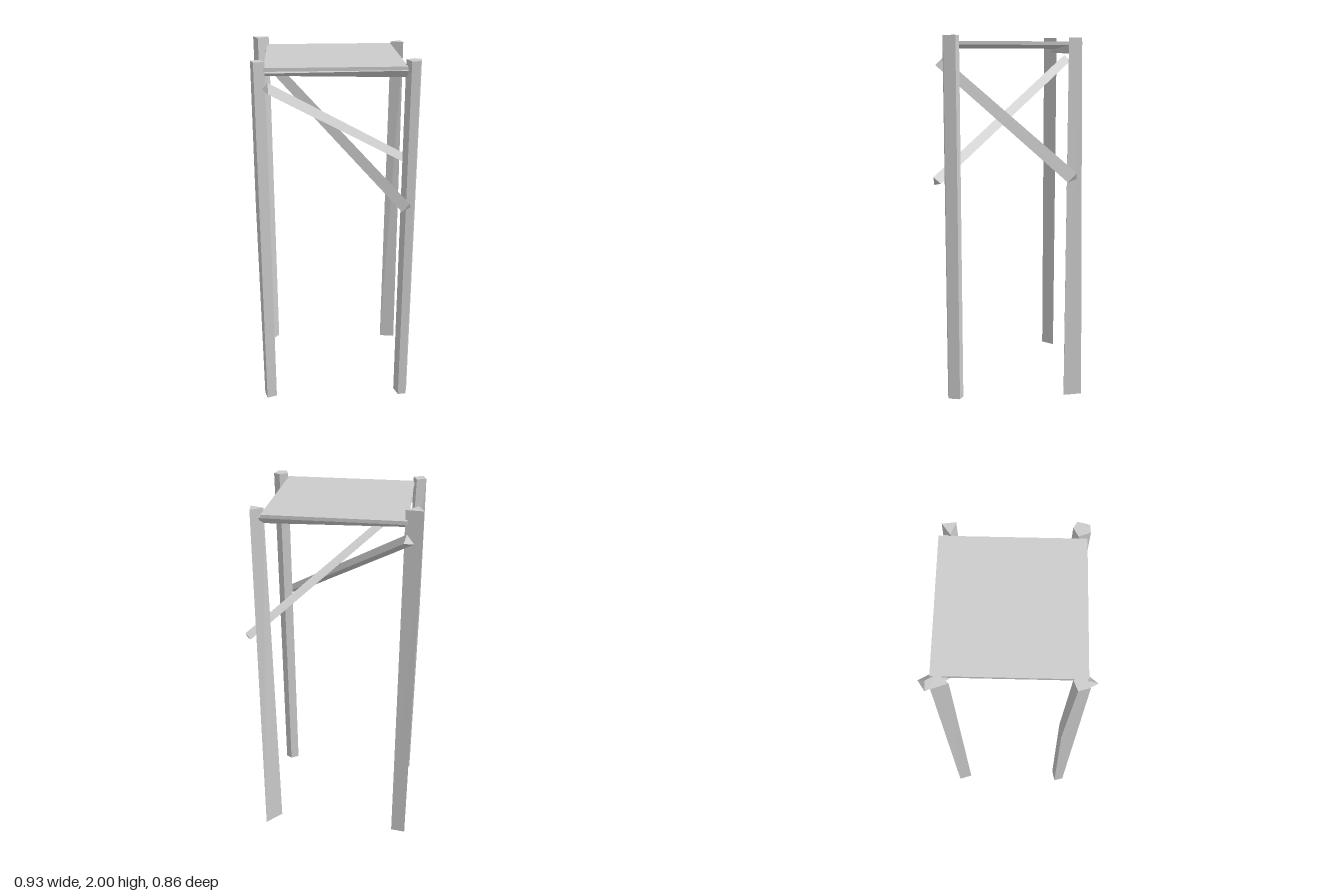
import * as THREE from 'three';

const material = new THREE.MeshStandardMaterial({ color: 0xcccccc, flatShading: true });

// Capped solid through matching rings of points, ordered anticlockwise as seen from the last ring
function loft(name, rings) {
  const pos = [];
  const n = rings[0].length;
  const tri = (a, b, c) => pos.push(...a, ...b, ...c);
  for (let r = 0; r + 1 < rings.length; r++) {
    const lo = rings[r], hi = rings[r + 1];
    for (let i = 0; i < n; i++) {
      const j = (i + 1) % n;
      tri(lo[i], lo[j], hi[j]);
      tri(lo[i], hi[j], hi[i]);
    }
  }
  const first = rings[0], last = rings[rings.length - 1];
  for (let i = 1; i + 1 < n; i++) {
    tri(first[0], first[i + 1], first[i]);
    tri(last[0], last[i], last[i + 1]);
  }
  const geo = new THREE.BufferGeometry();
  geo.setAttribute('position', new THREE.Float32BufferAttribute(pos, 3));
  geo.computeVertexNormals();
  const mesh = new THREE.Mesh(geo, material);
  mesh.name = name;
  return mesh;
}

// Horizontal ring of [x, z] points at height y
const level = (y, pts) => pts.map(([x, z]) => [x, y, z]);

// Straight beam with a cross-section given as [sideways, up] offsets
function beam(name, low, high, section) {
  const a = new THREE.Vector3(...low), b = new THREE.Vector3(...high);
  const d = b.clone().sub(a).normalize();
  const side = new THREE.Vector3(0, 1, 0).cross(d).normalize();
  const up = d.clone().cross(side);
  const ring = (p) => section.map(([s, u]) =>
    p.clone().addScaledVector(side, s).addScaledVector(up, u).toArray());
  return loft(name, [ring(a), ring(b)]);
}

export function createModel() {
  const group = new THREE.Group();

  // Thin square platform
  const platform = new THREE.Mesh(new THREE.BoxGeometry(0.72, 0.018, 0.72), material);
  platform.name = 'platform';
  platform.position.set(-0.031, 1.943, -0.009);
  group.add(platform);

  // Rough-hewn legs, each with its own section
  const backRight = [[-0.44, -0.275], [-0.38, -0.345], [-0.47, -0.355]];
  group.add(loft('backRightLeg', [
    level(0, [[-0.435, -0.28], [-0.38, -0.345], [-0.46, -0.355]]),
    level(2, backRight),
  ]));
  group.add(loft('backLeftLeg', [
    level(0, [[0.305, -0.3], [0.395, -0.285], [0.385, -0.387]]),
    level(1.97, [[0.325, -0.31], [0.395, -0.285], [0.385, -0.355]]),
  ]));
  group.add(loft('frontRightLeg', [
    level(0, [[-0.455, 0.3], [-0.44, 0.355], [-0.385, 0.335], [-0.39, 0.285]]),
    level(1.2, [[-0.462, 0.272], [-0.44, 0.355], [-0.385, 0.335], [-0.39, 0.262]]),
    level(1.98, [[-0.457, 0.298], [-0.44, 0.355], [-0.385, 0.337], [-0.405, 0.277]]),
  ]));
  const pentagon = [[0.325, 0.305], [0.345, 0.365], [0.39, 0.362], [0.405, 0.3], [0.37, 0.28]];
  group.add(loft('frontLeftLeg', [
    level(0, pentagon.map(([x, z]) => [x - 0.008, z])),
    level(1.98, pentagon),
  ]));

  // Tapered rails under the front and back edges of the platform
  const rail = [
    [[-0.4, 1.908, 0.32], [-0.4, 1.925, 0.31], [-0.4, 1.922, 0.335]],
    [[0.345, 1.89, 0.31], [0.345, 1.934, 0.295], [0.345, 1.93, 0.345]],
  ];
  rail.forEach((ring) => {
    const [p, q, r] = ring;
    // keep the ring anticlockwise as seen from +x
    if ((q[1] - p[1]) * (r[2] - p[2]) - (q[2] - p[2]) * (r[1] - p[1]) < 0) ring.reverse();
  });
  group.add(loft('frontRail', rail));
  group.add(loft('backRail', rail.map((ring) => ring.map(([x, y, z]) => [x, y, -z]).reverse())));

  // Two diagonal braces crossing under the platform
  group.add(beam('braceToFront', [0.345, 1.22, 0.41], [-0.4, 1.87, -0.41],
    [[0.03, -0.025], [0.005, 0.03], [-0.03, -0.01]]));
  group.add(beam('braceToBack', [0.45, 1.245, -0.31], [-0.378, 1.855, 0.375],
    [[0.03, -0.025], [-0.01, 0.03], [-0.03, -0.01]]));

  return group;
}
